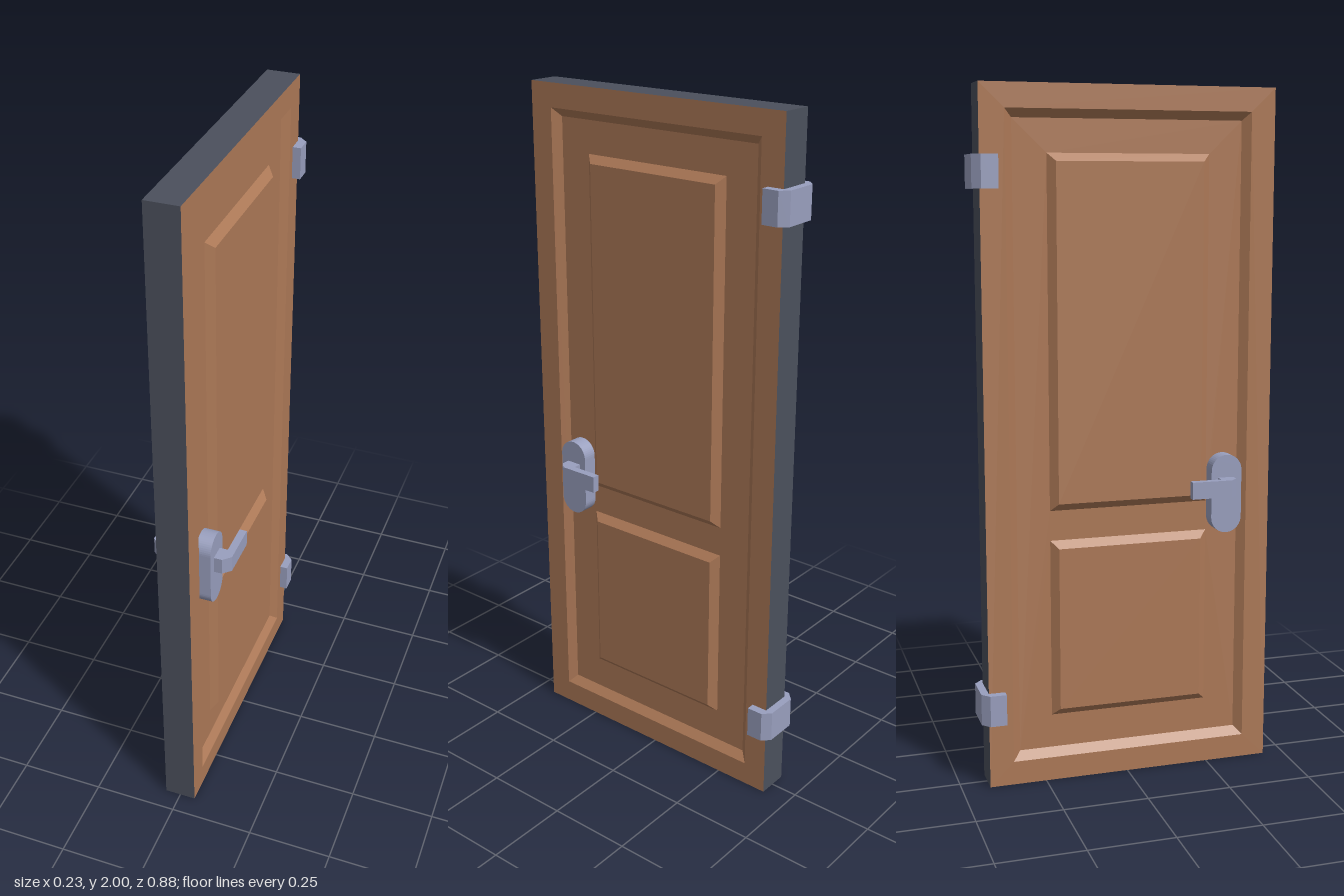
import * as THREE from 'three';
import { mergeGeometries } from 'three/addons/utils/BufferGeometryUtils.js';

const HALF = 0.047;   // half the door thickness
const WIDTH = 0.856;
const HEIGHT = 2;
const DEPTH = 0.02;   // depth of the recess
const CENTRE_Z = 0.01;

// Rectangle as corner points, counter-clockwise: half width, bottom, top
const rect = (w, y0, y1) => [[-w, y0], [w, y0], [w, y1], [-w, y1]].map(p => new THREE.Vector2(...p));

// Flat sheet at height z with optional rectangular holes
function sheet(outer, z, holes = []) {
  const shape = new THREE.Shape(outer);
  holes.forEach(h => shape.holes.push(new THREE.Path(h)));
  return new THREE.ShapeGeometry(shape).translate(0, 0, z).toNonIndexed();
}

// Sloped band between an outer and an inner rectangle
function bevel(outer, zo, inner, zi) {
  const pos = [], uv = [];
  for (let i = 0; i < 4; i++) {
    const j = (i + 1) % 4;
    const a = [outer[i].x, outer[i].y, zo], b = [outer[j].x, outer[j].y, zo];
    const c = [inner[j].x, inner[j].y, zi], d = [inner[i].x, inner[i].y, zi];
    pos.push(...a, ...b, ...c, ...a, ...c, ...d);
    uv.push(0, 0, 1, 0, 1, 1, 0, 0, 1, 1, 0, 1);
  }
  const g = new THREE.BufferGeometry();
  g.setAttribute('position', new THREE.Float32BufferAttribute(pos, 3));
  g.setAttribute('uv', new THREE.Float32BufferAttribute(uv, 2));
  g.computeVertexNormals();
  return g;
}

// Extrude an [x, z] outline upwards from y0 to y1
function upright(points, y0, y1) {
  const shape = new THREE.Shape(points.map(([x, z]) => new THREE.Vector2(x, -z)));
  return new THREE.ExtrudeGeometry(shape, { depth: y1 - y0, bevelEnabled: false })
    .rotateX(-Math.PI / 2).translate(0, y0, 0);
}

export function createModel() {
  const root = new THREE.Group();
  const wood = new THREE.MeshStandardMaterial({ color: 0xad7957 });
  wood.name = 'wood';
  const edge = new THREE.MeshStandardMaterial({ color: 0x4b505c });
  edge.name = 'dark edge';
  const metal = new THREE.MeshStandardMaterial({ color: 0x999fbe });
  metal.name = 'metal';

  const add = (name, geometry, material, parent = root) => {
    const mesh = new THREE.Mesh(geometry, material);
    mesh.name = name;
    parent.add(mesh);
    return mesh;
  };

  // Door edge: a box without its two broad sides
  const rim = new THREE.BoxGeometry(HALF * 2, HEIGHT, WIDTH);
  rim.setIndex(Array.from(rim.index.array).slice(12));
  rim.clearGroups();
  add('doorEdge', rim, edge).position.set(0, HEIGHT / 2, CENTRE_Z);

  // Panelled face: frame, recess, and two raised panels
  const recessTop = rect(0.357, 0.07, 1.932);
  const recessFloor = rect(0.334, 0.095, 1.908);
  const panels = [[0.195, 0.722], [0.81, 1.815]].map(([y0, y1]) => ({
    foot: rect(0.237, y0, y1),
    top: rect(0.215, y0 + 0.022, y1 - 0.022),
  }));
  const low = HALF - DEPTH;
  const face = mergeGeometries([
    sheet(rect(WIDTH / 2, 0, HEIGHT), HALF, [recessTop]),
    bevel(recessTop, HALF, recessFloor, low),
    sheet(recessFloor, low, panels.map(p => p.foot)),
    ...panels.flatMap(p => [bevel(p.foot, low, p.top, HALF), sheet(p.top, HALF)]),
  ]);

  // Handle backplate outline
  const r = 0.0465, plateY0 = 0.72, plateY1 = 0.953;
  const plateShape = new THREE.Shape();
  plateShape.absarc(0, plateY1 - r, r, 0, Math.PI);
  plateShape.absarc(0, plateY0 + r, r, Math.PI, Math.PI * 2);
  const plate = new THREE.ExtrudeGeometry(plateShape, {
    depth: 0.071 - 0.02, bevelEnabled: false, curveSegments: 12,
  }).translate(0, 0, 0.02);

  // Lever outline seen from above
  const lever = [[0.06, 0.27], [0.095, 0.27], [0.095, 0.175], [0.117, 0.175],
    [0.117, 0.296], [0.095, 0.317], [0.06, 0.317]];

  for (const side of [1, -1]) {
    const label = side > 0 ? 'left' : 'right';
    const panel = add(label + 'Face', face, wood);
    panel.rotation.y = side * Math.PI / 2;
    panel.position.z = CENTRE_Z;

    const handle = new THREE.Group();
    handle.name = label + 'Handle';
    root.add(handle);
    const back = add('backplate', plate, metal, handle);
    back.rotation.y = side * Math.PI / 2;
    back.position.z = 0.296;
    add('lever', upright(lever.map(([x, z]) => [side * x, z]), 0.836, 0.886), metal, handle);
  }

  // Hinges wrapped around the back edge
  const wrap = [[-0.071, -0.37], [-0.071, -0.418], [-0.048, -0.44],
    [0.048, -0.44], [0.071, -0.418], [0.071, -0.37]];
  add('lowerHinge', upright(wrap, 0.195, 0.287), metal);
  add('upperHinge', upright(wrap, 1.718, 1.81), metal);
  return root;
}
